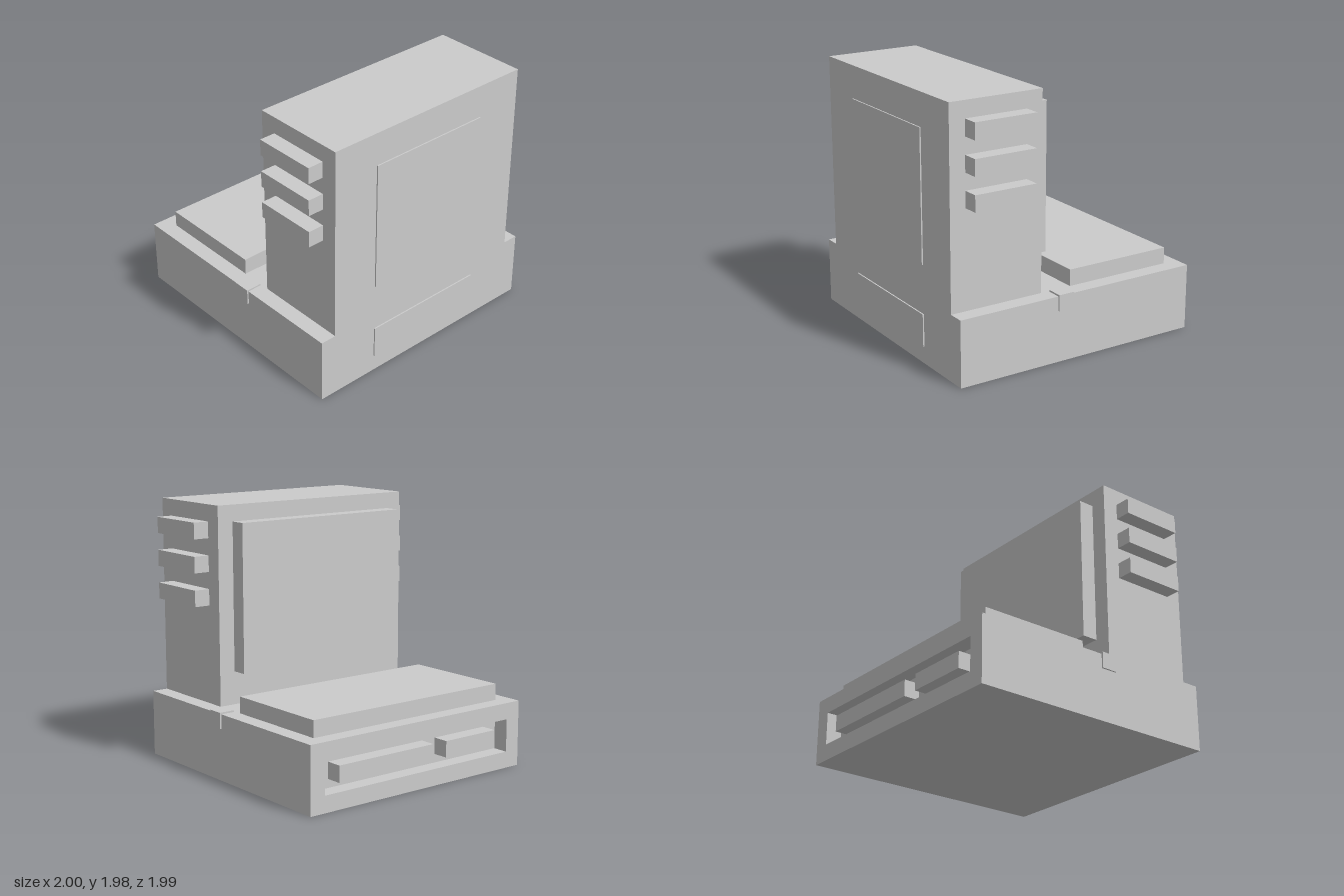
import * as THREE from 'three';

const material = new THREE.MeshStandardMaterial({ color: 0xcccccc, flatShading: true });

// Box given by its min and max extents on each axis
function block(name, [x0, x1], [y0, y1], [z0, z1]) {
  const mesh = new THREE.Mesh(new THREE.BoxGeometry(x1 - x0, y1 - y0, z1 - z0), material);
  mesh.position.set((x0 + x1) / 2, (y0 + y1) / 2, (z0 + z1) / 2);
  mesh.name = name;
  return mesh;
}

// Rectangle outline, used for the frame and its opening
function rectangle(path, x, y0, y1) {
  path.moveTo(-x, y0);
  path.lineTo(x, y0);
  path.lineTo(x, y1);
  path.lineTo(-x, y1);
  path.closePath();
  return path;
}

export function createModel() {
  const model = new THREE.Group();
  model.name = 'computerTerminal';
  const back = -0.993, recess = -0.87, front = 0.985;

  // Base: solid body plus a frame around the recess in the back face
  const base = new THREE.Group();
  base.name = 'base';
  base.add(block('baseBody', [-0.988, 0.988], [0, 0.5], [recess, front]));
  const outline = rectangle(new THREE.Shape(), 0.988, 0, 0.5);
  outline.holes.push(rectangle(new THREE.Path(), 0.865, 0.125, 0.375));
  const frame = new THREE.Mesh(
    new THREE.ExtrudeGeometry(outline, { depth: recess - back, bevelEnabled: false }), material);
  frame.position.z = back;
  frame.name = 'recessFrame';
  base.add(frame);
  model.add(base);

  // Two bars standing in the recess
  model.add(block('longRecessBar', [-0.125, 0.74], [0.19, 0.313], [back, recess]));
  model.add(block('shortRecessBar', [-0.74, -0.25], [0.19, 0.313], [back, recess]));

  // Keyboard slab, upright housing and screen
  model.add(block('keyboard', [-0.865, 0.865], [0.5, 0.625], [-0.87, -0.007]));
  model.add(block('housing', [-0.865, 0.865], [0.5, 1.983], [0.243, front]));
  model.add(block('screen', [-0.737, 0.737], [0.75, 1.86], [0.12, 0.243]));

  // Thin panels on the front
  model.add(block('upperPanel', [-0.494, 0.494], [0.747, 1.735], [front, 0.995]));
  model.add(block('lowerPanel', [-0.494, 0.494], [0.13, 0.377], [front, 0.995]));

  // Mirrored side fins and base clips
  for (const [side, label] of [[1, 'left'], [-1, 'right']]) {
    const span = (a, b) => (side > 0 ? [a, b] : [-b, -a]);
    for (let i = 0; i < 3; i++) {
      const y = 1.24 + i * 0.248;
      model.add(block(`${label}Fin${i + 1}`, span(0.865, 0.988), [y, y + 0.122], [0.37, 0.862]));
    }
    model.add(block(`${label}Clip`, span(0.877, 1), [0.392, 0.513], [0.055, 0.178]));
  }
  return model;
}
